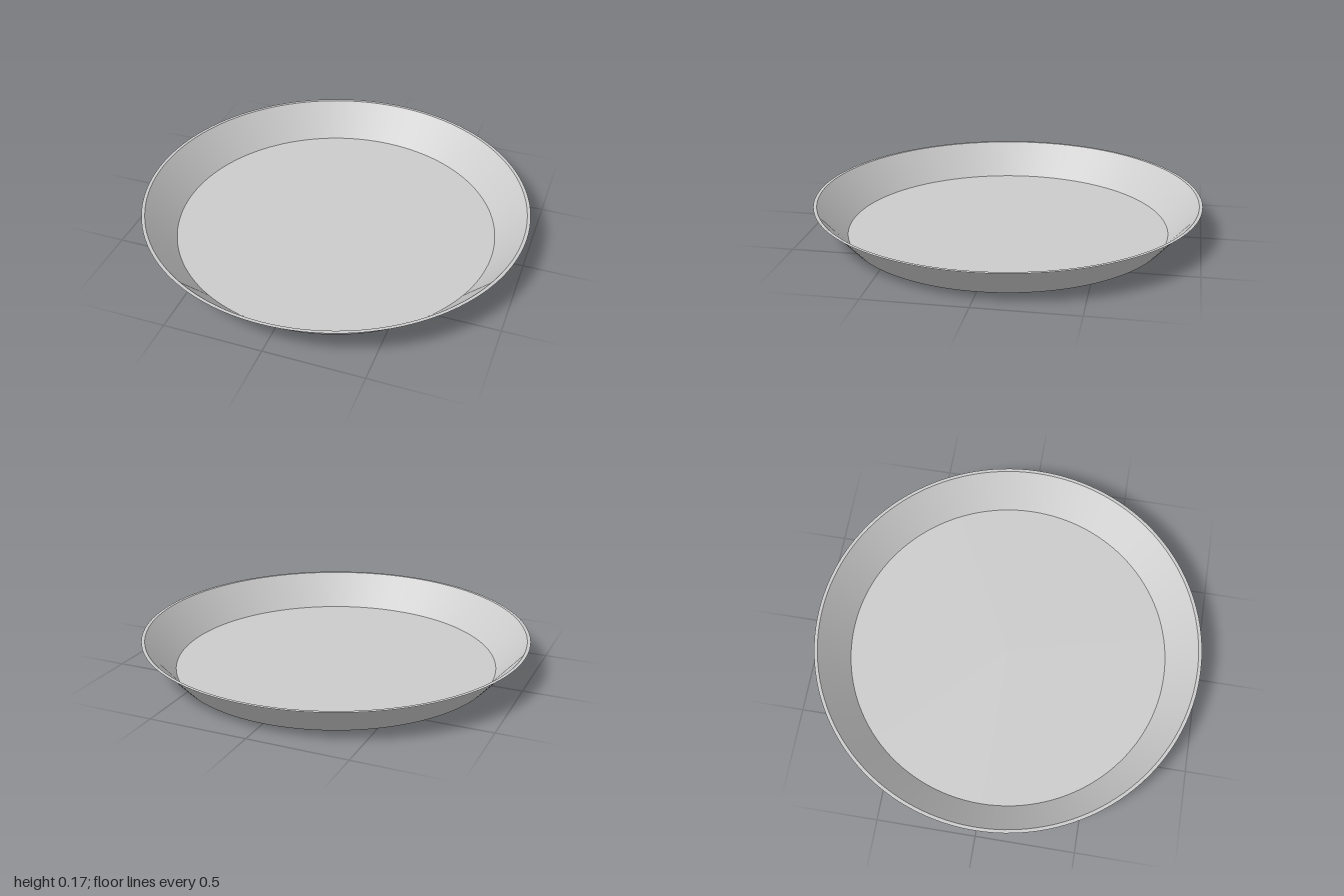
import * as THREE from 'three';

const SEGMENTS = 128;
const BASE_RADIUS = 0.834, WALL_RADIUS = 0.983, RIM_RADIUS = 1, HEIGHT = 0.168;

export function createModel() {
  const group = new THREE.Group();
  group.name = 'pan';
  const material = new THREE.MeshStandardMaterial({ color: 0xcccccc, side: THREE.DoubleSide });

  // Revolve one straight stretch of the sheet, so the folds between parts stay sharp
  const addBand = (name, from, to) => {
    const points = [new THREE.Vector2(...from), new THREE.Vector2(...to)];
    const mesh = new THREE.Mesh(new THREE.LatheGeometry(points, SEGMENTS), material);
    mesh.name = name;
    group.add(mesh);
  };

  // Flat round bottom
  const base = new THREE.Mesh(new THREE.CircleGeometry(BASE_RADIUS, SEGMENTS).rotateX(-Math.PI / 2), material);
  base.name = 'base';
  group.add(base);

  // Flared side and narrow flat lip
  addBand('wall', [BASE_RADIUS, 0], [WALL_RADIUS, HEIGHT]);
  addBand('rim', [RIM_RADIUS, HEIGHT], [WALL_RADIUS, HEIGHT]);

  return group;
}
